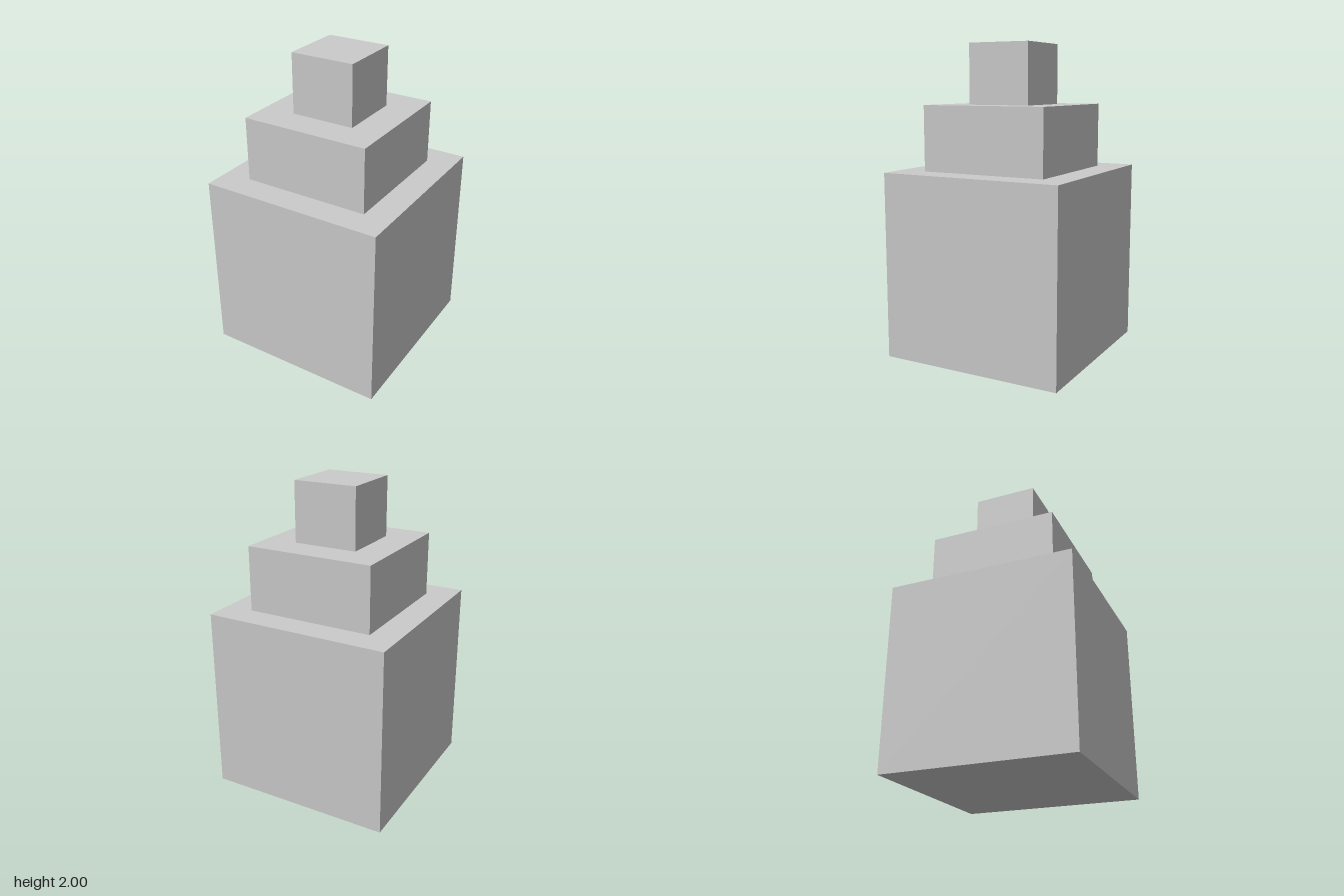
import * as THREE from 'three';

export function createModel() {
  const group = new THREE.Group();
  const material = new THREE.MeshStandardMaterial({ color: 0xcccccc, flatShading: true });

  // Square tiers stacked from the ground up: name, width, bottom, top
  const tiers = [
    ['baseBlock', 1.195, 0, 1.197],
    ['middleBlock', 0.833, 1.197, 1.614],
    ['topBlock', 0.417, 1.614, 2],
  ];
  for (const [name, width, bottom, top] of tiers) {
    const mesh = new THREE.Mesh(new THREE.BoxGeometry(width, top - bottom, width), material);
    mesh.name = name;
    mesh.position.y = (bottom + top) / 2;
    group.add(mesh);
  }
  return group;
}
